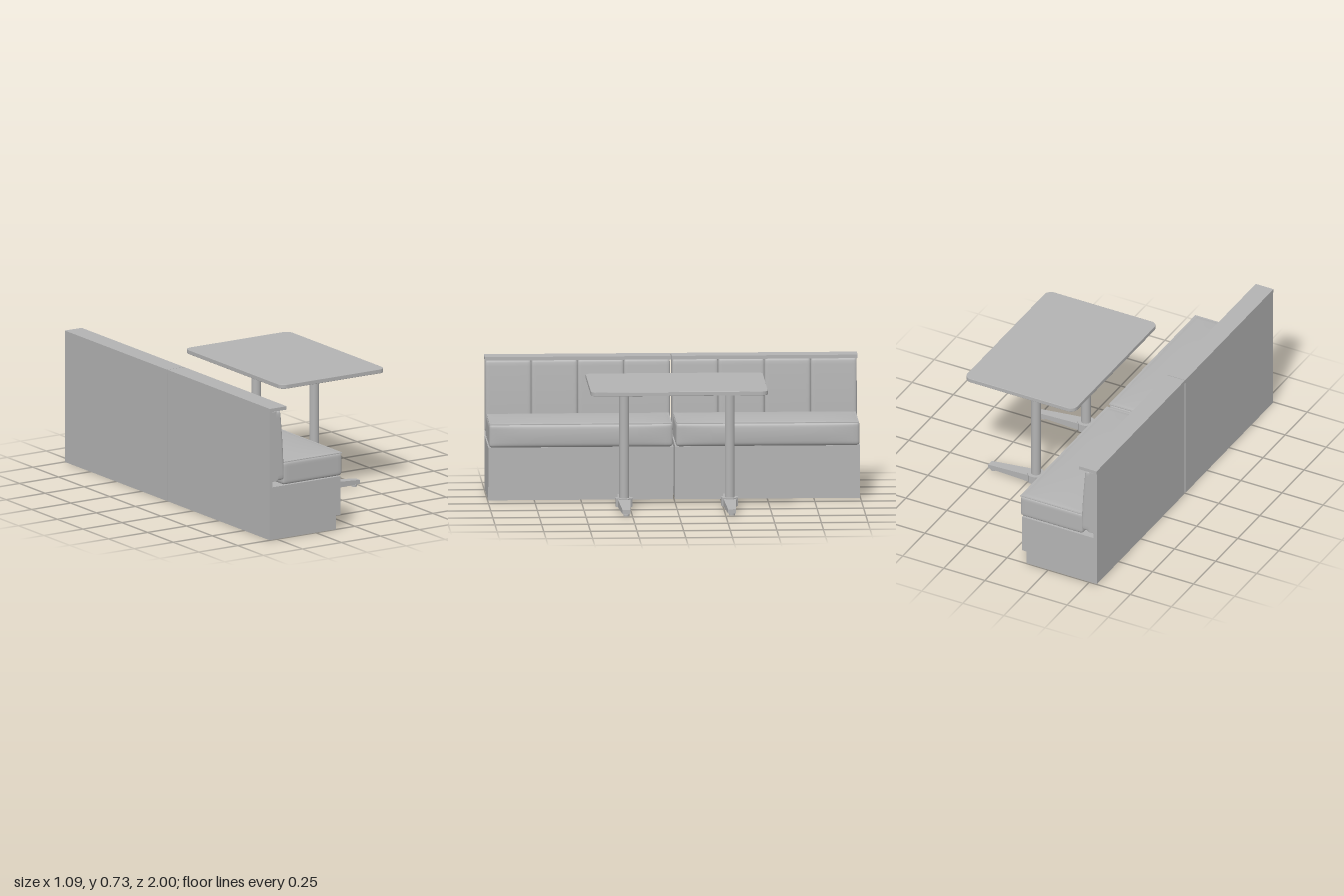
import * as THREE from 'three';
import { mergeVertices } from 'three/addons/utils/BufferGeometryUtils.js';

const grey = new THREE.MeshStandardMaterial({ color: 0xb3b3b3 });
grey.name = 'plain grey';

function add(parent, name, geometry) {
  const mesh = new THREE.Mesh(geometry, grey);
  mesh.name = name;
  parent.add(mesh);
  return mesh;
}

// Box given by its extents
function box(parent, name, x0, x1, y0, y1, z0, z1) {
  const mesh = add(parent, name, new THREE.BoxGeometry(x1 - x0, y1 - y0, z1 - z0));
  mesh.position.set((x0 + x1) / 2, (y0 + y1) / 2, (z0 + z1) / 2);
  return mesh;
}

function cylinder(parent, name, r, y0, y1, x, z, sides = 24) {
  const geometry = new THREE.CylinderGeometry(r, r, y1 - y0, sides);
  if (sides < 12) geometry.rotateY(Math.PI / sides);
  const mesh = add(parent, name, sides < 12 ? flat(geometry) : geometry);
  mesh.position.set(x, (y0 + y1) / 2, z);
  return mesh;
}

function flat(geometry) {
  const g = geometry.toNonIndexed();
  g.computeVertexNormals();
  return g;
}

// Upholstered block: a fine box with rounded edges, then bent by a rule(point, u, v, w) with u, v, w in -1..1
function cushionGeometry(w, h, d, r, rule) {
  const g = new THREE.BoxGeometry(2, 2, 2, 16, 16, 24);
  const p = g.attributes.position, half = new THREE.Vector3(w / 2, h / 2, d / 2);
  const v = new THREE.Vector3(), core = new THREE.Vector3();
  const limit = half.clone().subScalar(r);
  for (let i = 0; i < p.count; i++) {
    v.fromBufferAttribute(p, i);
    // Gather the grid lines near the edges
    for (const a of ['x', 'y', 'z']) v[a] = Math.sin(v[a] * Math.PI / 2);
    const [a, b, c] = v.toArray();
    v.multiply(half);
    core.copy(v).clamp(limit.clone().negate(), limit);
    v.sub(core);
    if (v.lengthSq() > 0) v.setLength(r);
    v.add(core);
    rule(v, a, b, c);
    p.setXYZ(i, v.x, v.y, v.z);
  }
  g.deleteAttribute('normal');
  g.deleteAttribute('uv');
  const merged = mergeVertices(g, 1e-5);
  merged.computeVertexNormals();
  return merged;
}

function createBench() {
  const bench = new THREE.Group();
  const L = 0.496;
  box(bench, 'backPanel', -0.545, -0.526, 0, 0.708, -L, L);
  box(bench, 'topCap', -0.545, -0.437, 0.708, 0.727, -0.499, 0.499);
  box(bench, 'seatBase', -0.526, -0.09, 0.075, 0.29, -L, L);

  // Hollow plinth
  box(bench, 'plinthFront', -0.135, -0.118, 0, 0.075, -L, L);
  for (const s of [-1, 1]) {
    const z = s * (L - 0.008);
    box(bench, 'plinthEnd', -0.526, -0.135, 0, 0.075, z - 0.008, z + 0.008);
  }

  // Seat cushion with crowned top and a slightly full front
  const seat = add(bench, 'seatCushion', cushionGeometry(0.382, 0.128, 0.986, 0.018, (v, a, b, c) => {
    if (b > 0) v.y += 0.013 * b * (1 - a * a) * (1 - c ** 4);
    if (a > 0) v.x += 0.007 * a * (1 - b * b) * (1 - c ** 4);
  }));
  seat.position.set(-0.266, 0.354, 0);

  // Seam around the top of the seat
  box(bench, 'seatSeam', -0.452, -0.075, 0.413, 0.418, -0.489, 0.489);

  // Four padded back channels, thinner toward the top
  const depth = 0.08, height = 0.385, width = 0.247;
  const channel = cushionGeometry(depth, height, width, 0.016, (v, a, b, c) => {
    if (a < 0) {
      // Square back half against the panel
      v.set(a * depth / 2, b * height / 2, c * width / 2);
      if (a > -0.999) v.x = Math.min(v.x, 0);
    }
    const t = (v.y + height / 2) / height;
    v.x = (v.x + depth / 2) * (1 - 0.3 * t ** 1.6);
  });
  for (let i = 0; i < 4; i++) {
    const pad = add(bench, 'backChannel', channel);
    pad.position.set(-0.526, 0.32 + height / 2, (i - 1.5) * 0.248);
  }
  return bench;
}

// Foot arm tapering in height and width from the hub to the tip
function armGeometry() {
  const length = 0.28;
  const g = new THREE.BoxGeometry(length, 1, 1);
  const p = g.attributes.position;
  for (let i = 0; i < p.count; i++) {
    const t = p.getX(i) / length + 0.5;
    const top = THREE.MathUtils.lerp(0.057, 0.036, t);
    p.setXYZ(i, t * length, p.getY(i) > 0 ? top : 0.014,
      Math.sign(p.getZ(i)) * THREE.MathUtils.lerp(0.036, 0.021, t));
  }
  return flat(g);
}

function createTable() {
  const table = new THREE.Group();
  table.name = 'table';
  const cx = 0.21;

  // Top with rounded corners
  const w = 0.335, d = 0.475, r = 0.04;
  const s = new THREE.Shape();
  s.absarc(w - r, d - r, r, 0, Math.PI / 2);
  s.absarc(-w + r, d - r, r, Math.PI / 2, Math.PI);
  s.absarc(-w + r, -d + r, r, Math.PI, Math.PI * 1.5);
  s.absarc(w - r, -d + r, r, Math.PI * 1.5, Math.PI * 2);
  s.closePath();
  const slab = new THREE.ExtrudeGeometry(s, {
    depth: 0.019, bevelEnabled: true, bevelSize: 0.002, bevelOffset: -0.002,
    bevelThickness: 0.002, bevelSegments: 2, curveSegments: 8
  });
  slab.rotateX(-Math.PI / 2);
  add(table, 'tableTop', slab).position.set(cx, 0.662, 0);

  // Rail joining both columns
  box(table, 'rail', cx - 0.024, cx + 0.024, 0.634, 0.654, -0.355, 0.355);

  const arm = armGeometry();
  for (const z of [-0.283, 0.283]) {
    box(table, 'mountingPlate', cx - 0.07, cx + 0.07, 0.653, 0.66, z - 0.07, z + 0.07);
    box(table, 'bracket', cx - 0.036, cx + 0.036, 0.642, 0.654, z - 0.036, z + 0.036);
    cylinder(table, 'column', 0.026, 0.05, 0.645, cx, z);
    cylinder(table, 'hub', 0.049, 0.014, 0.06, cx, z, 8);
    for (const side of [0, 1]) {
      const a = add(table, 'footArm', arm);
      a.position.set(cx, 0, z);
      a.rotation.y = side * Math.PI;
      const x = cx + (side ? -1 : 1) * 0.257;
      cylinder(table, 'footStem', 0.009, 0.01, 0.016, x, z, 16);
      cylinder(table, 'footPad', 0.016, 0, 0.011, x, z, 16);
    }
  }
  return table;
}

export function createModel() {
  const model = new THREE.Group();
  model.name = 'boothSeating';
  for (const side of [-1, 1]) {
    const bench = createBench();
    bench.name = side > 0 ? 'frontBench' : 'rearBench';
    bench.position.z = side * 0.501;
    model.add(bench);
  }
  model.add(createTable());
  return model;
}
